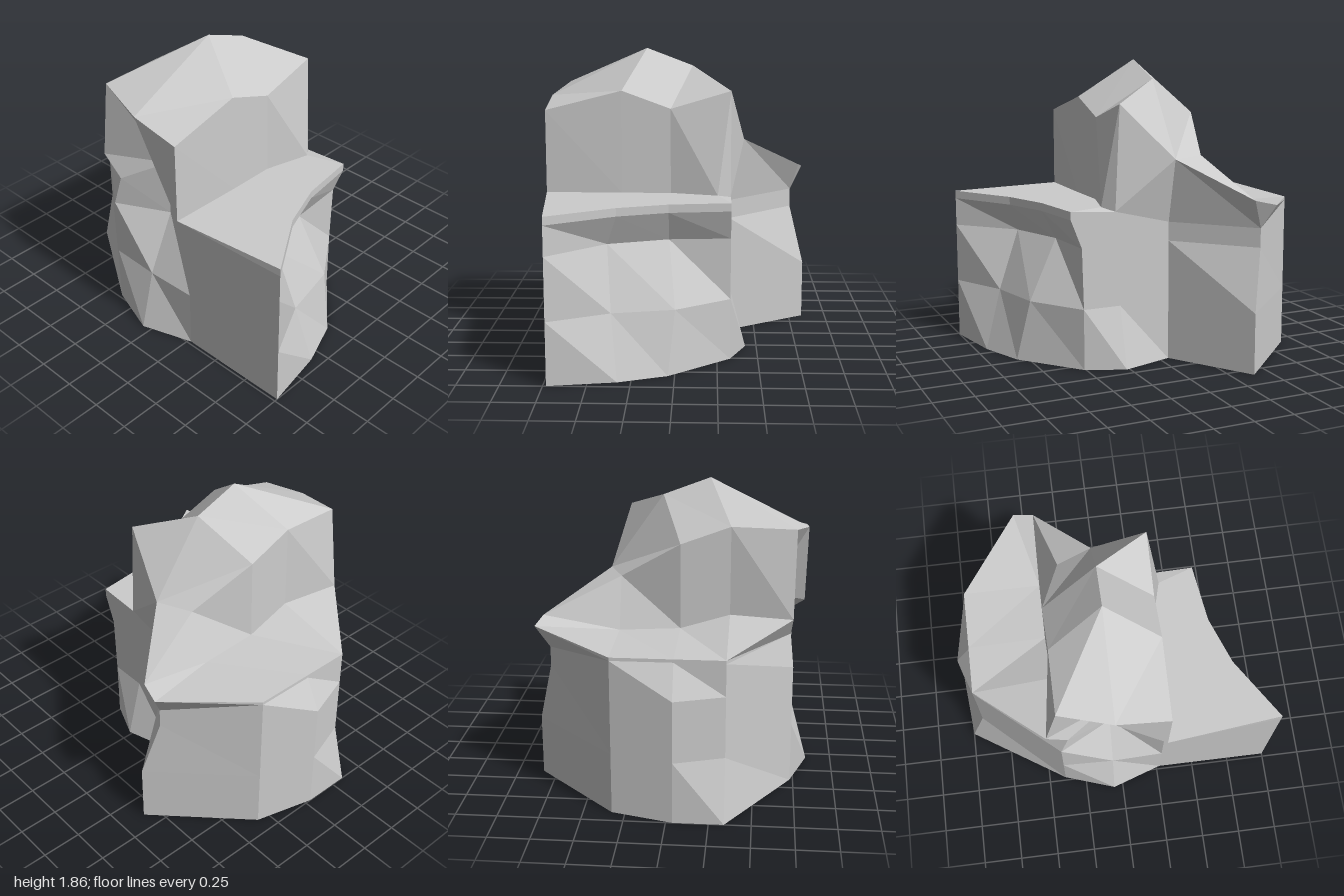
import * as THREE from 'three';

const material = new THREE.MeshStandardMaterial({ color: 0xcccccc, flatShading: true });

// Triangles between a lower and an upper row of points, running rightward as seen from outside
function strip(lower, upper) {
  const tris = [];
  for (let i = 0; i < lower.length - 1; i++) {
    tris.push([lower[i], lower[i + 1], upper[i]], [lower[i + 1], upper[i + 1], upper[i]]);
  }
  return tris;
}

// Flat-shaded mesh from triangles, leaving out the collapsed ones
function rockMesh(name, tris) {
  const same = (p, q) => p.every((v, k) => v === q[k]);
  const solid = tris.filter(([a, b, c]) => !same(a, b) && !same(b, c) && !same(a, c));
  const geometry = new THREE.BufferGeometry();
  geometry.setAttribute('position', new THREE.Float32BufferAttribute(solid.flat(2), 3));
  geometry.computeVertexNormals();
  const mesh = new THREE.Mesh(geometry, material);
  mesh.name = name;
  return mesh;
}

const atHeight = (y, points) => points.map(([x, z]) => [x, y, z]);
const close = (ring) => [...ring, ring[0]];

export function createModel() {
  const group = new THREE.Group();
  group.name = 'rockFormation';

  // Horizontal outlines, from the back corner round the left of the front to the right and back
  const foot = atHeight(0, [
    [-0.39, -0.84], [-0.9, -0.33], [-1, 0.04], [-1, 0.34], [-0.39, 0.73], [-0.06, 0.84], [0.27, 0.73],
    [1, 0.73], [0.93, 0.33], [0.82, 0.04], [0.51, -0.33], [0.27, -0.43], [-0.06, -0.33], [-0.39, -0.84],
  ]);
  const waist = atHeight(0.38, [
    [-0.39, -0.84], [-0.9, -0.33], [-1, 0.04], [-0.9, 0.34], [-0.39, 0.73], [-0.06, 0.74], [0.27, 0.73],
    [1, 0.73], [0.82, 0.37], [0.74, 0], [0.51, -0.33], [0.27, -0.33], [-0.06, -0.33], [-0.39, -0.84],
  ]);
  const shoulder = atHeight(0.76, [
    [-0.47, -0.75], [-0.9, -0.33], [-1, 0.04], [-0.9, 0.34], [-0.39, 0.73], [-0.06, 0.56], [0.27, 0.73],
    [1, 0.73], [0.68, 0.4], [0.55, 0.04], [0.52, -0.33], [0.27, -0.33], [-0.06, -0.33], [-0.47, -0.75],
  ]);
  const notch = [-0.06, 1.13, 0.56];
  const underRim = [
    [-0.47, 0.88, -0.75], [-0.9, 0.96, -0.33], [-0.9, 0.96, 0.04], [-0.9, 0.96, 0.34], [-0.34, 0.96, 0.71],
    notch, [0.27, 0.94, 0.73], [1, 0.94, 0.73], [0.75, 0.94, 0.34], [0.64, 0.94, 0.04],
    [0.59, 0.94, -0.33], [0.27, 0.88, -0.33], [-0.06, 0.88, -0.33], [-0.47, 0.88, -0.75],
  ];
  const saddle = [-0.06, 1.28, -0.42];
  const rim = [
    [-0.53, 1.03, -0.83], [-0.9, 0.98, -0.33], [-0.9, 0.98, 0.04], [-0.9, 0.98, 0.34], [-0.47, 1.09, 0.72],
    notch, [0.27, 0.99, 0.81], [1, 0.99, 0.73], [0.75, 0.99, 0.34], [0.64, 0.99, 0.04],
    [0.59, 0.99, -0.33], [0.3, 0.97, -0.33], saddle, [-0.4, 1.06, -0.8],
  ];

  // Lower cliff with its underside
  const rings = [foot, waist, shoulder, underRim].map(close);
  const cliff = [];
  for (let i = 0; i < rings.length - 1; i++) cliff.push(...strip(rings[i], rings[i + 1]));
  const hub = rings[0].map(() => [0, 0, 0.1]);
  group.add(rockMesh('cliffBase', [...strip(hub, rings[0])]));
  group.add(rockMesh('cliffWall', cliff));

  // Overhanging lip of the ledges
  group.add(rockMesh('overhangingRim', strip(close(underRim), close(rim))));

  // Lines of the tall block: foot, eaves and ridge
  const westFoot = [rim[0], [-0.41, 0.98, -0.33], [-0.41, 1, 0.04], [-0.4, 1.09, 0.34], rim[4]];
  const westEave = [rim[13], [-0.28, 1.285, -0.33], [-0.4, 1.52, 0.04], [-0.39, 1.63, 0.34], [-0.39, 1.62, 0.73]];
  const eastFoot = [rim[6], [0.28, 0.99, 0.34], [0.28, 0.99, 0.04], [0.36, 0.99, -0.25]];
  const eastEave = [[0.27, 1.5, 0.81], [0.27, 1.62, 0.34], [0.27, 1.51, 0.04], [0.27, 1.62, -0.33]];
  const brow = [-0.06, 1.56, 0.81];
  const summit = [-0.06, 1.86, 0.2];
  const ridgeEnd = [-0.06, 1.75, -0.09];

  // Ledges on both sides
  group.add(rockMesh('rightLedge', strip(rim.slice(0, 5), westFoot)));
  group.add(rockMesh('leftLedge', strip(rim.slice(7, 11), eastFoot)));

  // Walls of the tall block
  group.add(rockMesh('blockWalls', [
    ...strip(westFoot, westEave),
    ...strip([rim[4], notch, rim[6]], [westEave[4], brow, eastEave[0]]),
    ...strip(eastFoot, eastEave),
    ...strip([rim[10], rim[11], saddle], [eastFoot[3], eastEave[3], ridgeEnd]),
  ]));

  // Sloping top of the tall block
  group.add(rockMesh('blockTop', [
    ...strip(westEave, [saddle, saddle, ridgeEnd, summit, brow]),
    ...strip(eastEave, [brow, summit, ridgeEnd, ridgeEnd]),
  ]));

  return group;
}
